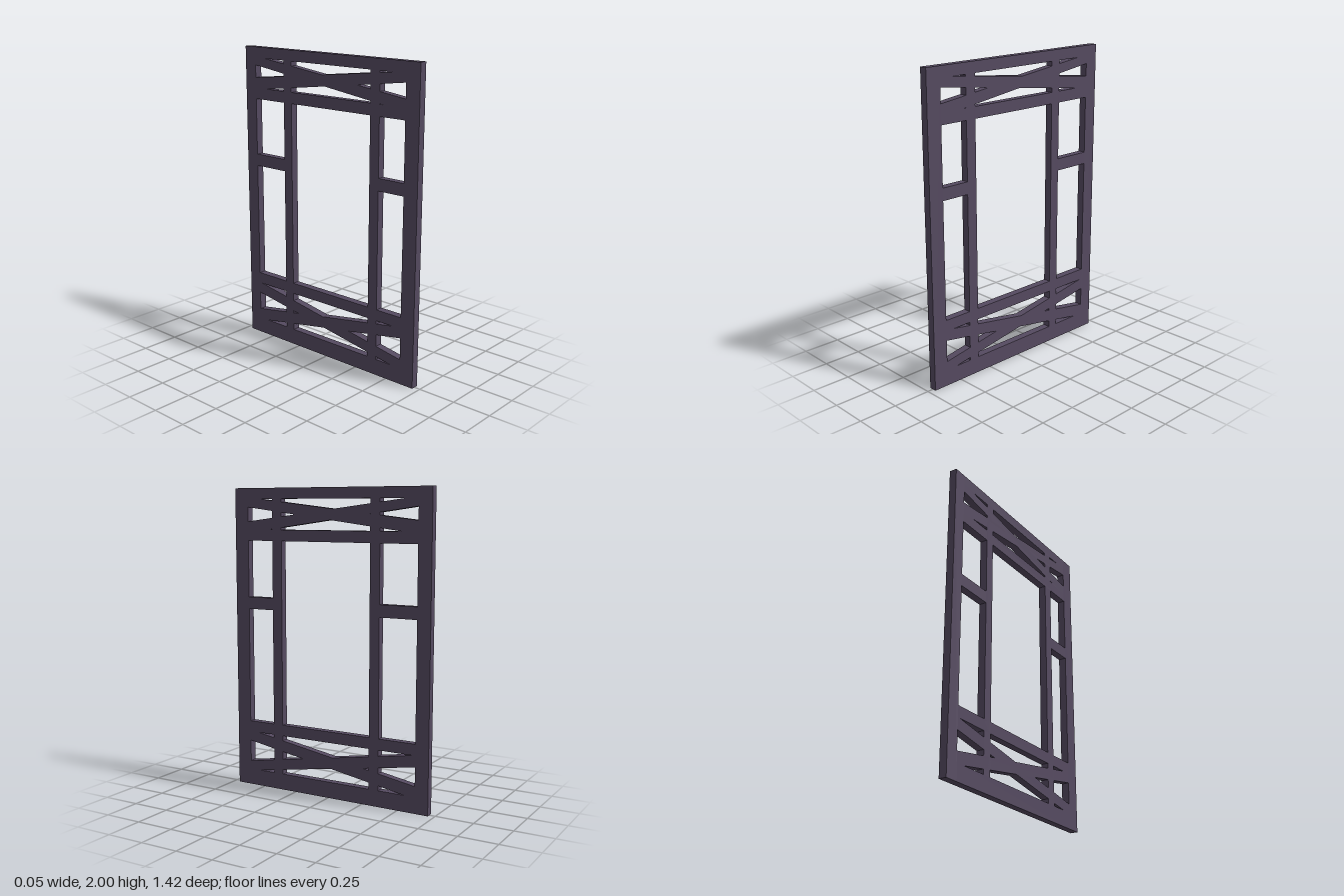
import * as THREE from 'three';

const DEPTH = 0.05;

export function createModel() {
  const model = new THREE.Group();
  model.name = 'latticePanel';
  const material = new THREE.MeshStandardMaterial({ color: 0x554a60 });

  // Flat board whose left and right ends are vertical, drawn in the panel plane (u = -z)
  function board(name, u0, u1, [low0, high0], [low1, high1] = [low0, high0]) {
    const shape = new THREE.Shape([
      new THREE.Vector2(u0, low0),
      new THREE.Vector2(u1, low1),
      new THREE.Vector2(u1, high1),
      new THREE.Vector2(u0, high0),
    ]);
    const geometry = new THREE.ExtrudeGeometry(shape, { depth: DEPTH, bevelEnabled: false });
    geometry.translate(0, 0, -DEPTH / 2);
    geometry.rotateY(Math.PI / 2);
    const mesh = new THREE.Mesh(geometry, material);
    mesh.name = name;
    model.add(mesh);
  }

  const left = -0.61, right = 0.62; // inner edges of the outer stiles

  // Outer frame
  board('frontStile', -0.71, left, [0, 2]);
  board('backStile', right, 0.71, [0, 2]);
  board('topRail', left, right, [1.93, 2]);
  board('bottomRail', left, right, [0, 0.107]);

  // Inner frame
  board('upperRail', left, right, [1.66, 1.733]);
  board('lowerRail', left, right, [0.37, 0.443]);
  board('innerFrontStile', -0.42, -0.35, [0.1, 1.94]);
  board('innerBackStile', 0.298, 0.365, [0.1, 1.94]);

  // Short cross pieces of the side openings
  board('frontCrossPiece', left, -0.42, [1.208, 1.287]);
  board('backCrossPiece', 0.365, right, [1.208, 1.287]);

  // Crossed braces above and below the main opening
  board('upperFallingBrace', left, right, [1.877, 1.94], [1.72, 1.8]);
  board('upperRisingBrace', left, right, [1.71, 1.784], [1.882, 1.941]);
  board('lowerFallingBrace', left, right, [0.307, 0.38], [0.095, 0.175]);
  board('lowerRisingBrace', left, right, [0.095, 0.164], [0.297, 0.373]);

  return model;
}
